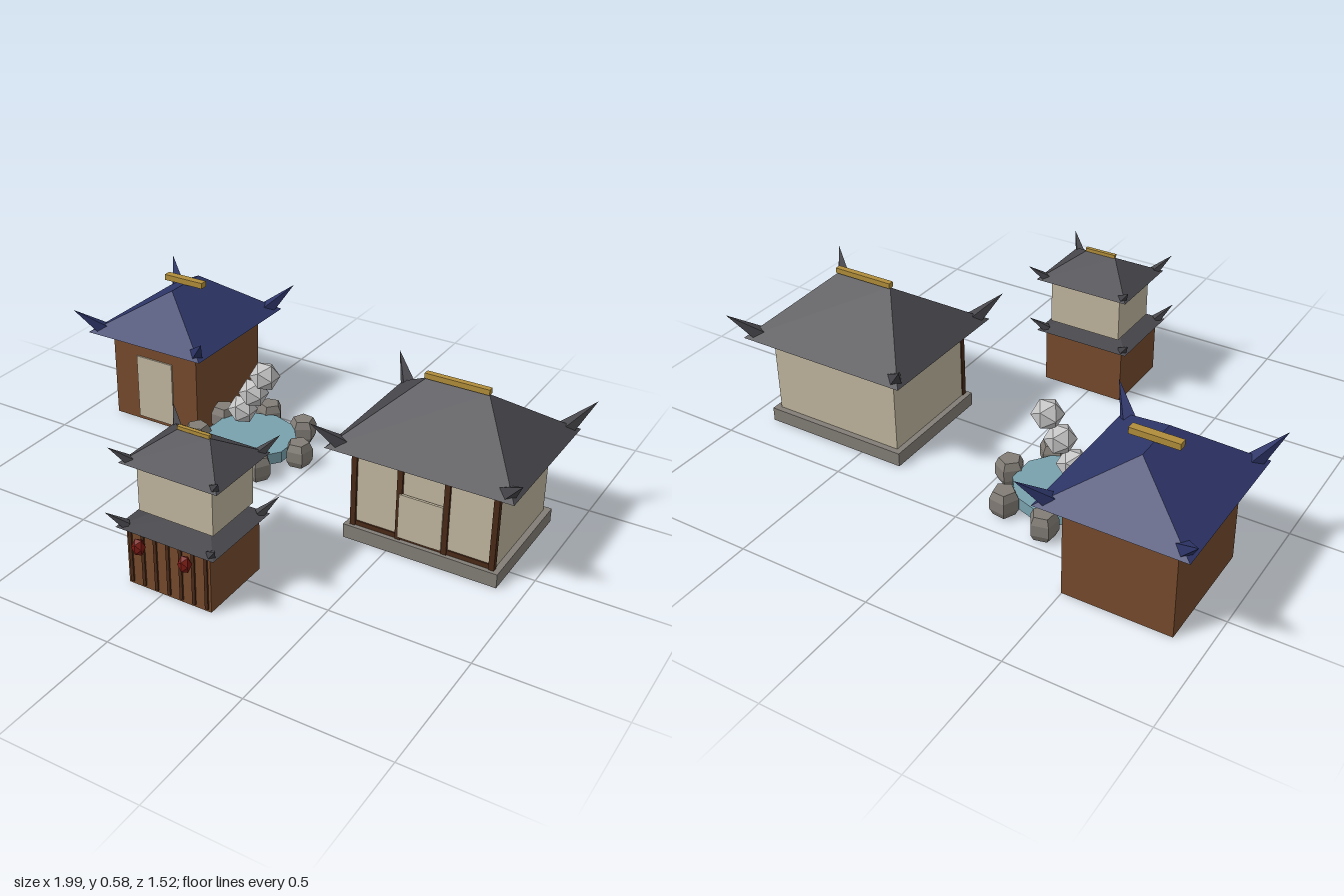
import * as THREE from 'three';

const paint = (name, color) => {
  const m = new THREE.MeshStandardMaterial({ color, flatShading: true });
  m.name = name;
  return m;
};

export function createModel() {
  const plaster = paint('plaster', 0xc0b69e), wood = paint('wood', 0x754a2b);
  const darkWood = paint('dark wood', 0x4a2a18), blueTile = paint('blue tile', 0x2d3568);
  const greyTile = paint('grey tile', 0x47464b), gold = paint('gold', 0xb08d3a);
  const water = paint('water', 0x78a1ad), stone = paint('stone', 0x827d76);
  const steam = paint('steam', 0xc4c4c4), red = paint('red', 0x7a1a14);

  const add = (parent, name, geometry, material, x = 0, y = 0, z = 0) => {
    const mesh = new THREE.Mesh(geometry, material);
    mesh.name = name;
    mesh.position.set(x, y, z);
    parent.add(mesh);
    return mesh;
  };
  // Box given by its centre in x and z and its bottom in y
  const box = (parent, name, mat, w, h, d, x, y, z) =>
    add(parent, name, new THREE.BoxGeometry(w, h, d), mat, x, y + h / 2, z);
  const group = (parent, name, x = 0, y = 0, z = 0) => {
    const g = new THREE.Group();
    g.name = name;
    g.position.set(x, y, z);
    parent.add(g);
    return g;
  };

  // Hip roof with its ridge along x
  const hipGeometry = (hx, hz, h, r) => {
    const a = [-hx, 0, -hz], b = [hx, 0, -hz], c = [hx, 0, hz], d = [-hx, 0, hz];
    const p = [-r, h, 0], q = [r, h, 0];
    const faces = [d, c, q, d, q, p, b, a, p, b, p, q, c, b, q, a, d, p, a, b, c, a, c, d];
    const geo = new THREE.BufferGeometry();
    geo.setAttribute('position', new THREE.Float32BufferAttribute(faces.flat(), 3));
    geo.computeVertexNormals();
    return geo;
  };

  // Roof with four upturned corner horns and an optional gold ridge cap
  const roof = (parent, name, mat, o) => {
    const g = group(parent, name, 0, o.y, o.z || 0);
    const geo = o.alongZ ? hipGeometry(o.hz, o.hx, o.h, o.ridge).rotateY(Math.PI / 2)
      : hipGeometry(o.hx, o.hz, o.h, o.ridge);
    add(g, 'roofSlopes', geo, mat);
    const s = o.horn;
    for (const sx of [-1, 1]) for (const sz of [-1, 1]) {
      const base = new THREE.Vector3(sx * (o.hx - 0.045 * s), 0.005 * s, sz * (o.hz - 0.045 * s));
      const tip = new THREE.Vector3(sx * (o.hx + 0.037 * s), 0.1 * s, sz * (o.hz + 0.037 * s));
      const dir = tip.clone().sub(base);
      const horn = add(g, 'cornerHorn', new THREE.ConeGeometry(0.032 * s, dir.length(), 4), mat);
      horn.position.copy(base).add(tip).multiplyScalar(0.5);
      horn.quaternion.setFromUnitVectors(new THREE.Vector3(0, 1, 0), dir.normalize());
    }
    if (o.cap) box(g, 'ridgeCap', gold, o.cap[0], o.cap[1], o.cap[2], 0, o.h, 0);
  };

  const model = new THREE.Group();
  model.name = 'village';

  // Blue-roofed bath house
  const bath = group(model, 'bathHouse', -0.693, 0, -0.428);
  box(bath, 'walls', wood, 0.39, 0.366, 0.44, 0, 0, 0);
  box(bath, 'door', plaster, 0.165, 0.265, 0.009, 0, 0.015, 0.222);
  roof(bath, 'blueRoof', blueTile,
    { y: 0.364, hx: 0.262, hz: 0.292, h: 0.16, ridge: 0.09, alongZ: true, horn: 1, cap: [0.175, 0.023, 0.03] });

  // Large hall on a stone plinth
  const hall = group(model, 'hall', 0.62, 0, -0.127);
  box(hall, 'plinth', stone, 0.575, 0.053, 0.47, 0, 0, 0);
  box(hall, 'walls', plaster, 0.53, 0.315, 0.425, 0, 0.052, 0);
  for (const x of [-0.259, -0.086, 0.086, 0.259])
    box(hall, 'frontPost', darkWood, 0.02, 0.313, 0.02, x, 0.053, 0.212);
  box(hall, 'bottomRail', darkWood, 0.53, 0.018, 0.014, 0, 0.053, 0.211);
  box(hall, 'door', plaster, 0.162, 0.17, 0.009, -0.004, 0.065, 0.222);
  roof(hall, 'hallRoof', greyTile,
    { y: 0.365, hx: 0.34, hz: 0.286, h: 0.2, ridge: 0.113, horn: 1, cap: [0.235, 0.02, 0.022] });

  // Two-storey tower with slatted front and lanterns
  const tower = group(model, 'tower', 0.028, 0, 0.565);
  box(tower, 'lowerWalls', wood, 0.325, 0.218, 0.285, 0, 0, 0);
  for (let i = 0; i < 7; i++)
    box(tower, 'slat', darkWood, 0.012, 0.205, 0.009, (i - 3) * 0.049, 0.01, 0.144);
  roof(tower, 'lowerRoof', greyTile, { y: 0.217, hx: 0.19, hz: 0.165, h: 0.045, ridge: 0.063, horn: 0.6 });
  box(tower, 'upperWalls', plaster, 0.288, 0.183, 0.232, 0, 0.259, -0.02);
  roof(tower, 'upperRoof', greyTile,
    { y: 0.442, z: -0.021, hx: 0.187, hz: 0.154, h: 0.088, ridge: 0.06, horn: 0.6, cap: [0.122, 0.013, 0.014] });
  for (const x of [-0.09, 0.09])
    add(tower, 'lantern', new THREE.IcosahedronGeometry(0.0235), red, x, 0.182, 0.178).scale.y = 1.4;

  // Hot spring: pool, ring of rocks, rising steam
  const spring = group(model, 'hotSpring', -0.26, 0, -0.23);
  add(spring, 'pool', new THREE.CylinderGeometry(0.175, 0.175, 0.045, 10), water, 0, 0.045, 0);
  const profile = [[0, 0.003], [0.04, 0.003], [0.053, 0.028], [0.053, 0.07], [0.04, 0.097], [0, 0.097]]
    .map(([x, y]) => new THREE.Vector2(x, y));
  for (let i = 0; i < 7; i++) {
    const t = i * Math.PI * 2 / 7;
    const rock = add(spring, 'rock', new THREE.LatheGeometry(profile, 5), stone,
      0.21 * Math.cos(t), 0, 0.21 * Math.sin(t));
    rock.rotation.y = i * 0.9 - 0.5;
  }
  for (let i = 0; i < 3; i++)
    add(spring, 'steamPuff', new THREE.IcosahedronGeometry(0.058), steam, -0.04 + i * 0.05, 0.167 + i * 0.083, 0);

  return model;
}
